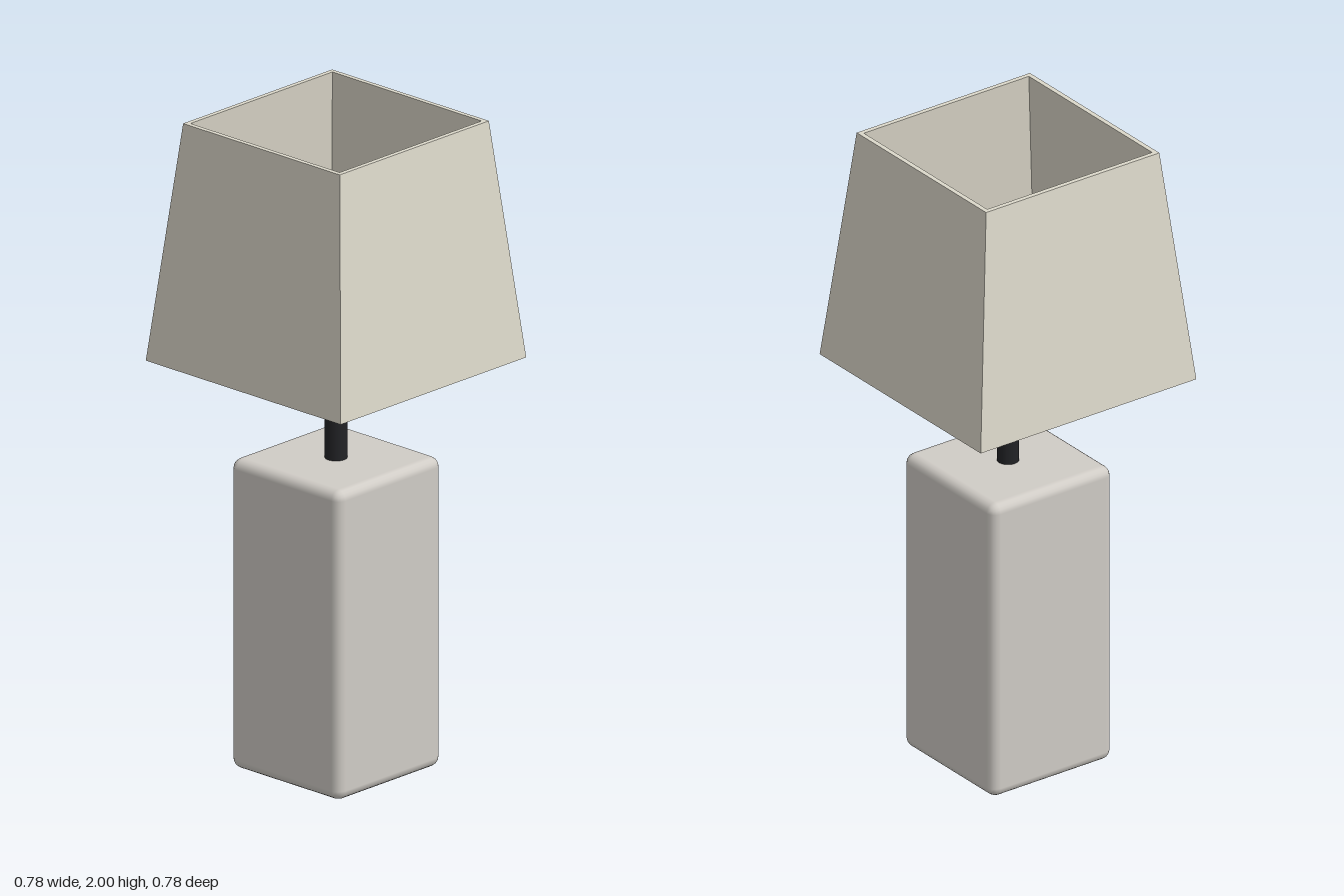
import * as THREE from 'three';
import { RoundedBoxGeometry } from 'three/addons/geometries/RoundedBoxGeometry.js';

export function createModel() {
  const lamp = new THREE.Group();
  lamp.name = 'tableLamp';

  const add = (name, geometry, color, y, flatShading = false) => {
    const material = new THREE.MeshStandardMaterial({ color, flatShading });
    const mesh = new THREE.Mesh(geometry, material);
    mesh.name = name;
    mesh.position.y = y;
    lamp.add(mesh);
    return mesh;
  };

  // Square block base with softened edges
  add('base', new RoundedBoxGeometry(0.44, 0.96, 0.44, 2, 0.03), 0xd0ccc6, 0.48);

  // Dark stem, running from the base up to the bulb
  add('stem', new THREE.CylinderGeometry(0.033, 0.033, 0.42, 16), 0x222326, 1.15);

  // Bulb standing on the stem
  const bulb = add('bulb', new THREE.SphereGeometry(0.11, 14, 10), 0xf4e8cc, 1.44);
  bulb.rotation.y = Math.PI / 2;

  // Four-sided tapered shade: a closed wall profile (half width, height) turned in four steps
  const profile = [
    [0.392, 1.265], [0.315, 2], [0.3, 2], [0.377, 1.265], [0.392, 1.265],
  ].map(([half, y]) => new THREE.Vector2(half * Math.SQRT2, y));
  const shade = new THREE.LatheGeometry(profile, 4).rotateY(Math.PI / 4);
  add('shade', shade, 0xdcd8ca, 0, true);

  // Thin panel closing the shade just above its lower rim
  add('diffuserPanel', new THREE.BoxGeometry(0.744, 0.01, 0.744), 0xe4d6b0, 1.3);

  return lamp;
}
